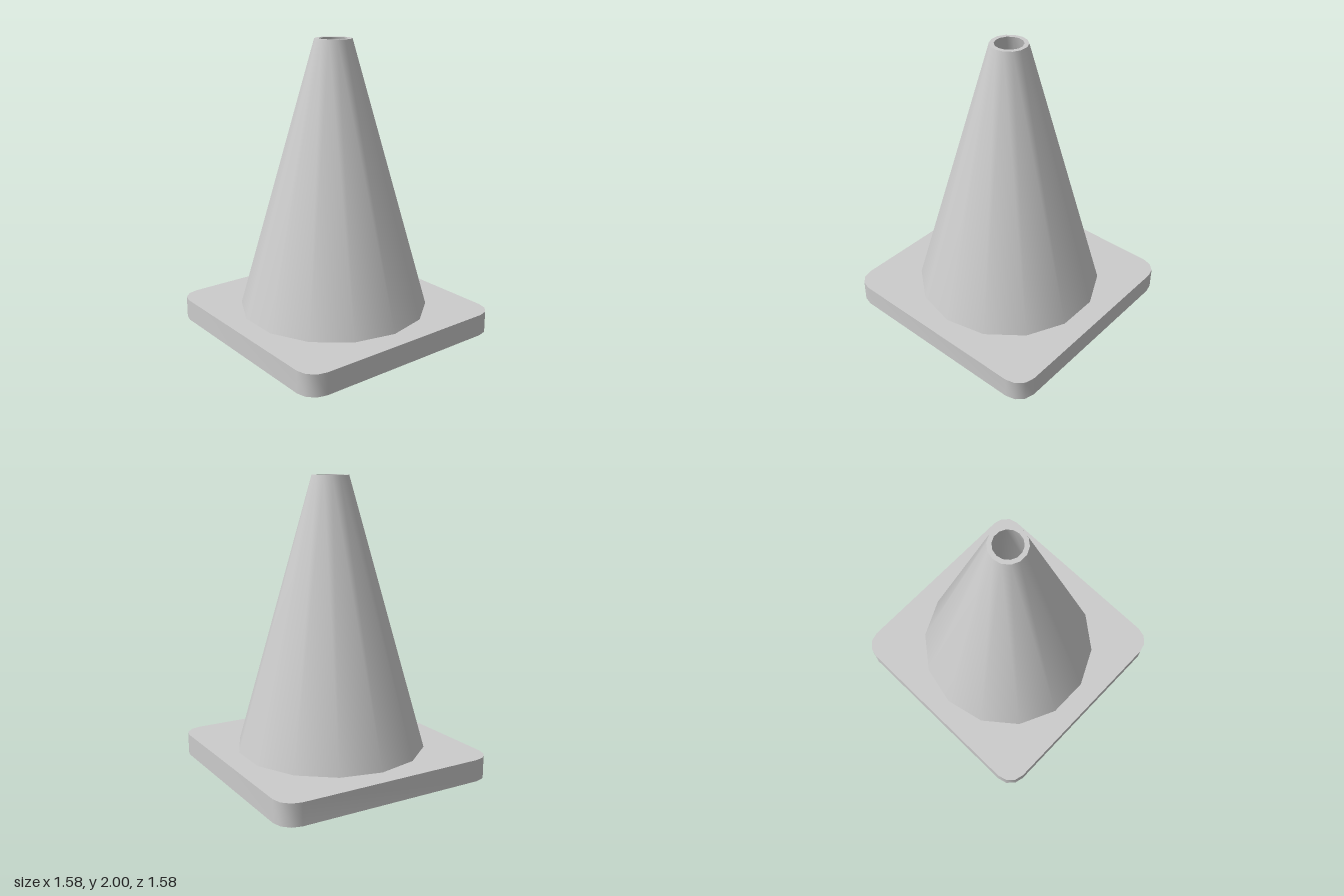
import * as THREE from 'three';
import { toCreasedNormals } from 'three/addons/utils/BufferGeometryUtils.js';

const SIDES = 14;
const PLATE_TOP = 0.15;
const HOLE_RADIUS = 0.62;
const CREASE = 0.6;

// Points of an arc in the shape plane
function arc(cx, cy, radius, start, sweep, steps) {
  return Array.from({ length: steps + 1 }, (_, i) => {
    const a = start + (sweep * i) / steps;
    return new THREE.Vector2(cx + radius * Math.cos(a), cy + radius * Math.sin(a));
  });
}

// Square plate with rounded corners and an opening under the cone
function createBasePlate() {
  const half = 0.79, corner = 0.13, inset = half - corner;
  const outline = [];
  [[1, 1], [-1, 1], [-1, -1], [1, -1]].forEach(([sx, sy], i) => {
    outline.push(...arc(sx * inset, sy * inset, corner, (i * Math.PI) / 2, Math.PI / 2, 3));
  });
  const shape = new THREE.Shape(outline);
  const opening = arc(0, 0, HOLE_RADIUS, Math.PI / 2, -Math.PI * 2, SIDES).slice(0, SIDES);
  shape.holes.push(new THREE.Path(opening));
  const geometry = new THREE.ExtrudeGeometry(shape, { depth: PLATE_TOP, bevelEnabled: false });
  geometry.rotateX(-Math.PI / 2);
  return toCreasedNormals(geometry, CREASE);
}

// Hollow tapered body: outer wall, top rim, inner wall
function createConeBody() {
  const profile = [
    [0.65, PLATE_TOP], [0.125, 2], [0.095, 2], [HOLE_RADIUS, PLATE_TOP],
  ].map(([r, y]) => new THREE.Vector2(r, y));
  return toCreasedNormals(new THREE.LatheGeometry(profile, SIDES), CREASE);
}

export function createModel() {
  const group = new THREE.Group();
  group.name = 'trafficCone';
  const material = new THREE.MeshStandardMaterial({ color: 0xcccccc });
  const parts = { basePlate: createBasePlate(), coneBody: createConeBody() };
  for (const [name, geometry] of Object.entries(parts)) {
    const mesh = new THREE.Mesh(geometry, material);
    mesh.name = name;
    group.add(mesh);
  }
  return group;
}
